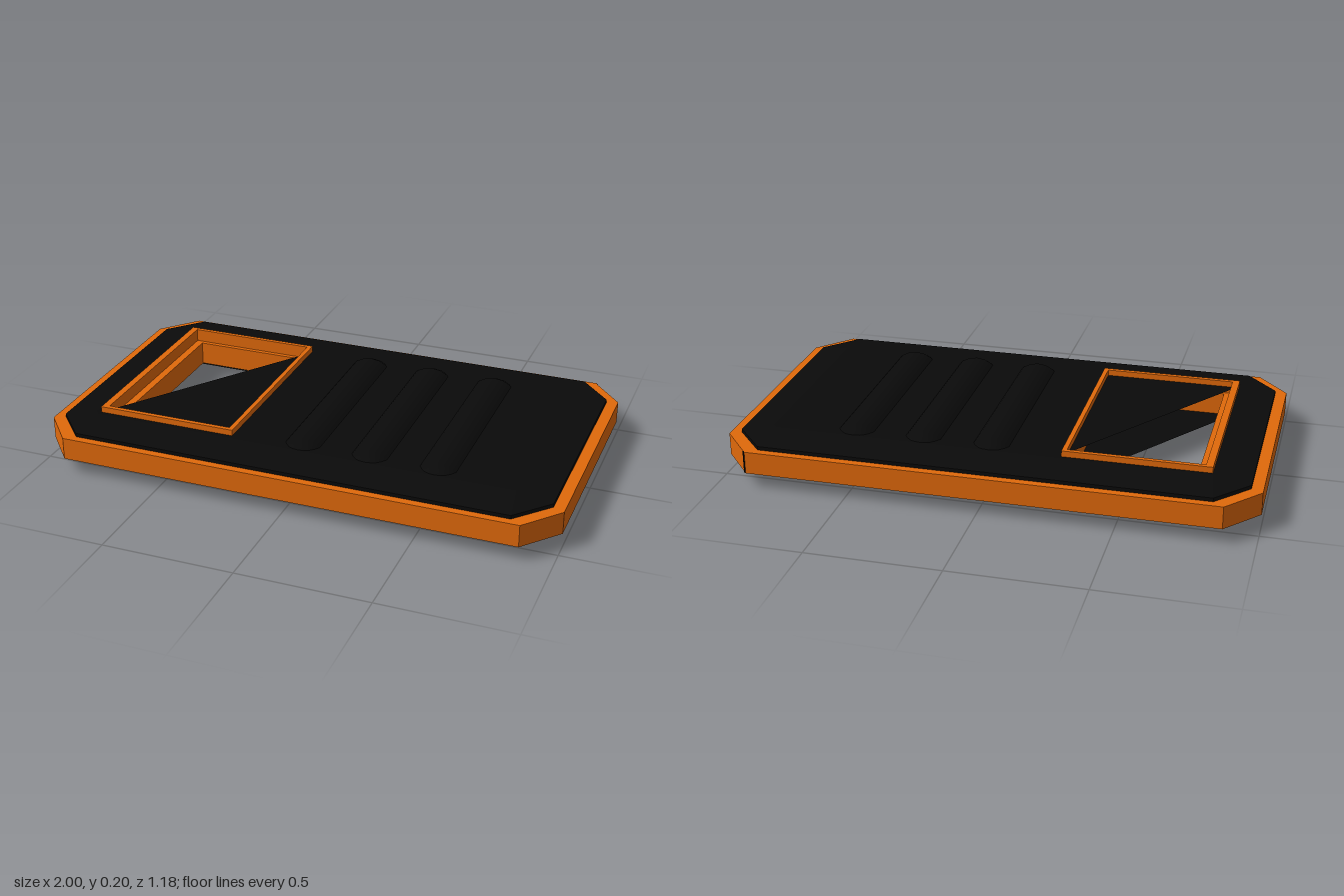
import * as THREE from 'three';

const MID = 0.102; // height of the horizontal symmetry plane

// Chamfered rectangle outline as [x, z] corners
const octagon = (x, z, cx, cz) => [
  [x, cz], [cx, z], [-cx, z], [-x, cz], [-x, -cz], [-cx, -z], [cx, -z], [x, -cz],
];
const rect = (x0, x1, z0, z1) => [[x0, z0], [x1, z0], [x1, z1], [x0, z1]];

// Shape from [x, z] corners; s = 1 faces up, s = -1 faces down once laid flat.
// The hole runs the other way round so that its walls face inwards.
function makeShape(outline, hole, s = 1) {
  const pts = (list) => list.map(([x, z]) => new THREE.Vector2(x, -s * z));
  const shape = new THREE.Shape(pts(outline));
  shape.holes.push(new THREE.Path(pts(hole).reverse()));
  return shape;
}

// Horizontal slab between two heights
function slab(outline, hole, y0, y1) {
  return new THREE.ExtrudeGeometry(makeShape(outline, hole), { depth: y1 - y0, bevelEnabled: false })
    .rotateX(-Math.PI / 2).translate(0, y0, 0);
}

// Horizontal sheet facing up or down
function sheet(outline, hole, y, s) {
  return new THREE.ShapeGeometry(makeShape(outline, hole, s))
    .rotateX(-s * Math.PI / 2).translate(0, y, 0);
}

// Sloped band joining octagons given as { ring, h }, h measured from MID
function band(levels, s) {
  const pos = [];
  for (let l = 0; l < levels.length - 1; l++) {
    const lo = levels[l], hi = levels[l + 1];
    for (let i = 0; i < 8; i++) {
      const j = (i + 1) % 8;
      const at = (lv, k) => [lv.ring[k][0], MID + s * lv.h, lv.ring[k][1]];
      const a = at(lo, i), b = at(lo, j), c = at(hi, j), d = at(hi, i);
      pos.push(...(s > 0 ? [a, c, b, a, d, c] : [a, b, c, a, c, d]).flat());
    }
  }
  const g = new THREE.BufferGeometry();
  g.setAttribute('position', new THREE.Float32BufferAttribute(pos, 3));
  g.computeVertexNormals();
  return g;
}

export function createModel() {
  const orange = new THREE.MeshStandardMaterial({ color: 0xe0690b });
  orange.name = 'orange';
  const black = new THREE.MeshStandardMaterial({ color: 0x0a0a0a });
  black.name = 'black';
  // Open cover edges show from both sides
  const blackEdge = black.clone();
  blackEdge.side = THREE.DoubleSide;

  const model = new THREE.Group();
  model.name = 'slab';
  const add = (name, geometry, material) => {
    const mesh = new THREE.Mesh(geometry, material);
    mesh.name = name;
    model.add(mesh);
    return mesh;
  };

  const windowOuter = rect(-0.79, -0.288, -0.388, 0.382);
  const windowInner = rect(-0.76, -0.292, -0.37, 0.37);

  // Chamfered rim, window lining and raised window frame
  add('rim', slab(octagon(1, 0.59, 0.88, 0.45), windowOuter, MID - 0.043, MID + 0.043), orange);
  add('windowLining', slab(windowOuter, windowInner, 0.057, 0.15), orange);
  add('windowFrame', slab(rect(-0.817, -0.27, -0.405, 0.4), windowOuter, 0.145, 0.2), orange);

  // Covers above and below, each closing half of the window diagonally
  const edge = octagon(0.957, 0.56, 0.84, 0.43);
  const flat = octagon(0.84, 0.42, 0.82, 0.4);
  const opening = [[-0.79, -0.388], [-0.288, -0.388], [-0.288, -0.365], [-0.79, 0.36]];
  for (const [side, s] of [['top', 1], ['bottom', -1]]) {
    add(side + 'CoverEdge', band([
      { ring: edge, h: 0.04 }, { ring: edge, h: 0.057 }, { ring: flat, h: 0.075 },
    ], s), blackEdge);
    add(side + 'Cover', sheet(flat, opening, MID + s * 0.075, s), black);
    add(side + 'CoverInside', sheet(edge, opening, MID + s * 0.04, -s), black);
  }

  // Rounded ridges showing through both covers
  const profile = [[0, -0.45], [0.055, -0.435], [0.085, -0.405], [MID, -0.37],
    [MID, 0.37], [0.085, 0.405], [0.055, 0.435], [0, 0.45]].map(([r, z]) => new THREE.Vector2(r, z));
  for (const x of [0, 0.26, 0.52]) {
    const ridge = new THREE.LatheGeometry(profile, 20).rotateX(Math.PI / 2);
    add('ridge', ridge, black).position.set(x, MID, 0);
  }

  // Narrow dark seam at one rear corner
  const seam = add('cornerSeam', new THREE.BoxGeometry(0.012, 0.086, 0.004), black);
  seam.position.set(0.885, MID, -0.585);
  seam.rotation.y = -Math.atan2(0.14, 0.12);

  return model;
}
